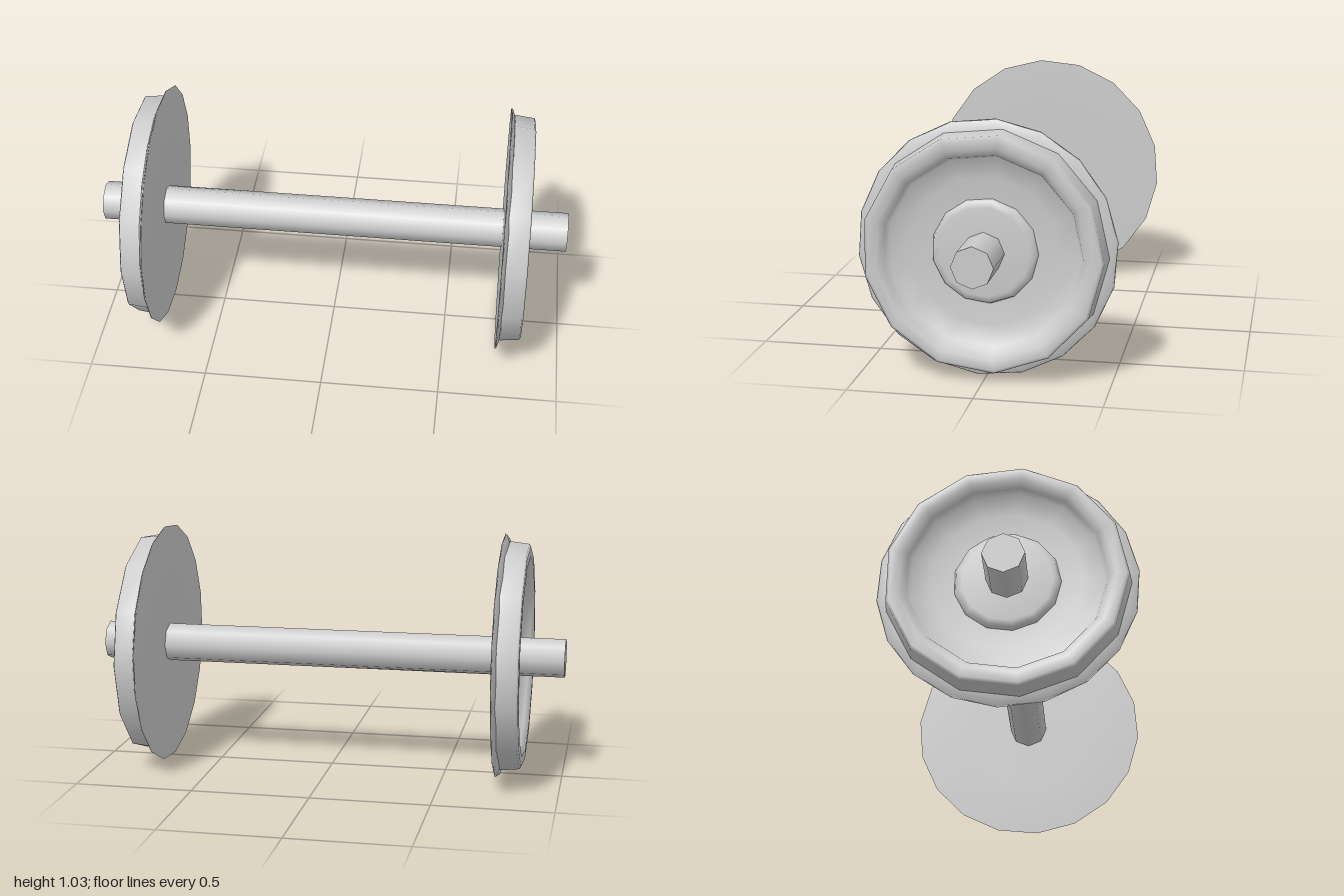
import * as THREE from 'three';

const CENTER_Y = 0.52;
const material = new THREE.MeshStandardMaterial({ color: 0xcccccc });

// Revolves [radius, distance outward] pairs around the x axis
function turned(name, profile, sides, phase) {
  const points = profile.map(([r, d]) => new THREE.Vector2(r, d));
  const geometry = new THREE.LatheGeometry(points, sides, phase);
  geometry.rotateZ(-Math.PI / 2);
  const mesh = new THREE.Mesh(geometry, material);
  mesh.name = name;
  return mesh;
}

function createWheel(name) {
  const wheel = new THREE.Group();
  wheel.name = name;

  // Flat inner face with the thin, finer-sided flange lip
  wheel.add(turned('flange', [
    [0, 0], [0.3, 0], [0.518, 0], [0.514, 0.006], [0.488, 0.016], [0.46, 0.022],
  ], 18, 0.1));

  // Tapered tread, rounded rim face, and the recessed web
  wheel.add(turned('rim', [
    [0.48, 0.012], [0.485, 0.02], [0.476, 0.1], [0.464, 0.106],
    [0.425, 0.107], [0.395, 0.085], [0.382, 0.055], [0.3, 0.036], [0.19, 0.03],
  ], 13, 0.22));

  // Low raised hub around the axle
  wheel.add(turned('hub', [
    [0.212, 0.03], [0.205, 0.05], [0.18, 0.058], [0.07, 0.062],
  ], 13, 0.22));
  return wheel;
}

export function createModel() {
  const model = new THREE.Group();
  model.name = 'wheelset';

  // Axle running the full width
  const axleGeometry = new THREE.CylinderGeometry(0.083, 0.083, 2, 8);
  axleGeometry.rotateZ(-Math.PI / 2);
  const axle = new THREE.Mesh(axleGeometry, material);
  axle.name = 'axle';
  axle.position.y = CENTER_Y;
  model.add(axle);

  // A matching wheel at each end, recessed side outward
  const left = createWheel('leftWheel');
  left.position.set(0.727, CENTER_Y, 0);
  const right = createWheel('rightWheel');
  right.position.set(-0.732, CENTER_Y, 0);
  right.rotation.y = Math.PI;
  model.add(left, right);

  return model;
}
